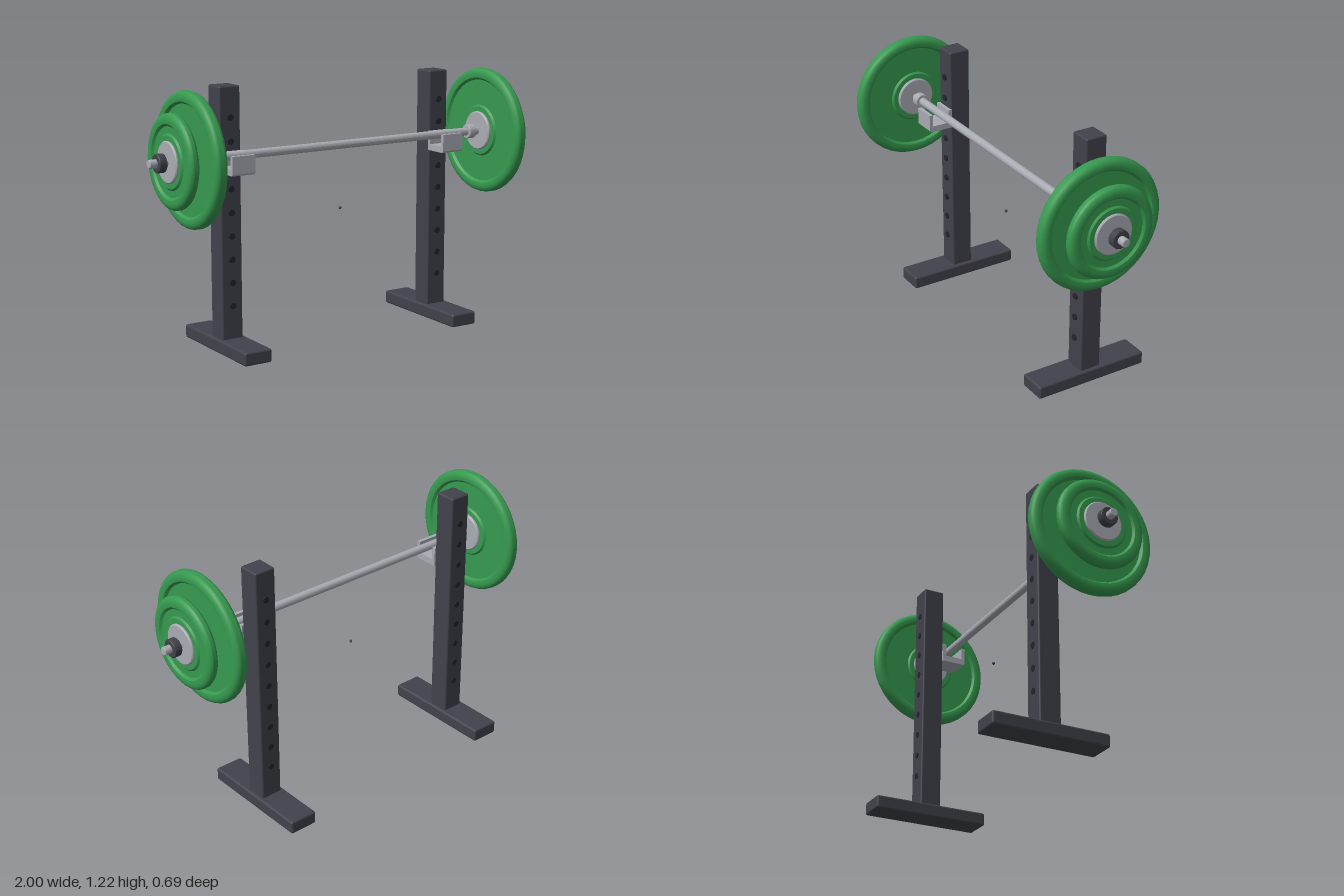
import * as THREE from 'three';
import { RoundedBoxGeometry } from 'three/addons/geometries/RoundedBoxGeometry.js';
import { toCreasedNormals } from 'three/addons/utils/BufferGeometryUtils.js';

const BAR_Y = 0.913, BAR_Z = 0.045, POST_X = 0.571, POST_Z = -0.0625;

const paint = (color) => new THREE.MeshStandardMaterial({ color });
const frameMat = paint(0x41424b);
const holeMat = paint(0x24252b);
const steelMat = paint(0xa9abb3);
const plateMat = paint(0x36994f);

function add(parent, name, geometry, material, x = 0, y = 0, z = 0) {
  const mesh = new THREE.Mesh(geometry, material);
  mesh.name = name;
  mesh.position.set(x, y, z);
  parent.add(mesh);
  return mesh;
}

// Solid of revolution around the x axis; profile is [radius, x] pairs
function turned(profile, segments) {
  const points = profile.map(([r, x]) => new THREE.Vector2(r, x));
  const lathe = new THREE.LatheGeometry(points, segments);
  lathe.rotateZ(-Math.PI / 2);
  return toCreasedNormals(lathe, 0.5);
}

// Cylinder along x with a small chamfer at both ends
function rod(radius, length, chamfer = 0.003, segments = 24) {
  const h = length / 2;
  return turned([[0, -h], [radius - chamfer, -h], [radius, -h + chamfer],
    [radius, h - chamfer], [radius - chamfer, h], [0, h]], segments);
}

// Weight plate: rounded thick rim, recessed web, raised hub ring
function plateGeometry(radius, halfWidth) {
  const web = halfWidth * 0.55, ring = halfWidth * 0.85;
  const side = [
    [0.015, ring], [0.116, ring], [0.124, web],
    [radius - 0.056, web], [radius - 0.046, halfWidth * 0.92],
    [radius - 0.03, halfWidth], [radius - 0.015, halfWidth * 0.9],
    [radius - 0.005, halfWidth * 0.65], [radius, halfWidth * 0.3],
  ];
  const near = side.map(([r, x]) => [r, -x]);
  return turned([...near, ...side.reverse()], 40);
}

// U-shaped cradle seen from the side, extruded across the post
function hookGeometry() {
  const width = 0.114;
  const shape = new THREE.Shape([
    [-0.012, 0.832], [0.102, 0.832], [0.11, 0.84], [0.11, 0.92], [0.092, 0.92],
    [0.092, 0.862], [0.006, 0.862], [0.006, 0.925], [-0.012, 0.925],
  ].map(([z, y]) => new THREE.Vector2(-z, y)));
  const geometry = new THREE.ExtrudeGeometry(shape, { depth: width, bevelEnabled: false });
  geometry.translate(0, 0, -width / 2);
  geometry.rotateY(Math.PI / 2);
  return geometry;
}

function createStand(side) {
  const stand = new THREE.Group();
  stand.name = side > 0 ? 'leftStand' : 'rightStand';
  const x = side * POST_X;
  add(stand, 'foot', new RoundedBoxGeometry(0.138, 0.063, 0.566, 2, 0.01), frameMat, x, 0.0315, -0.063);
  add(stand, 'post', new RoundedBoxGeometry(0.104, 1.165, 0.104, 2, 0.008), frameMat, x, 0.6315, POST_Z);

  // Row of adjustment holes through the post
  const hole = new THREE.CylinderGeometry(0.015, 0.015, 0.114, 16).rotateX(Math.PI / 2);
  for (let i = 0; i < 9; i++) add(stand, 'pinHole', hole, holeMat, x, 0.217 + i * 0.1072, -0.06);

  add(stand, 'barHook', hookGeometry(), steelMat, x);
  return stand;
}

// Collar, plates and clip on one end of the bar, built outwards along +x
function createWeights(side) {
  const weights = new THREE.Group();
  weights.name = side > 0 ? 'leftWeights' : 'rightWeights';
  weights.position.set(0, BAR_Y, BAR_Z);
  if (side < 0) weights.rotation.y = Math.PI;
  if (side < 0) weights.position.x = 0;

  add(weights, 'innerCollar', rod(0.034, 0.04), steelMat, 0.72);
  add(weights, 'largePlate', plateGeometry(0.302, 0.031), plateMat, 0.803);
  add(weights, 'largePlateHub', rod(0.093, 0.078, 0.005, 40), steelMat, 0.803);
  add(weights, 'smallPlate', plateGeometry(0.211, 0.026), plateMat, 0.883);
  add(weights, 'smallPlateHub', rod(0.093, 0.064, 0.005, 40), steelMat, 0.883);
  add(weights, 'outerClip', rod(0.042, 0.036), frameMat, 0.947);
  return weights;
}

export function createModel() {
  const model = new THREE.Group();
  model.name = 'barbellRack';
  add(model, 'bar', rod(0.0195, 2), steelMat, 0, BAR_Y, BAR_Z);
  for (const side of [-1, 1]) model.add(createStand(side), createWeights(side));

  // Tiny marker at the middle of the rack
  add(model, 'centreMarker', new THREE.SphereGeometry(0.007, 10, 8), frameMat, 0, 0.607, 0);
  return model;
}
